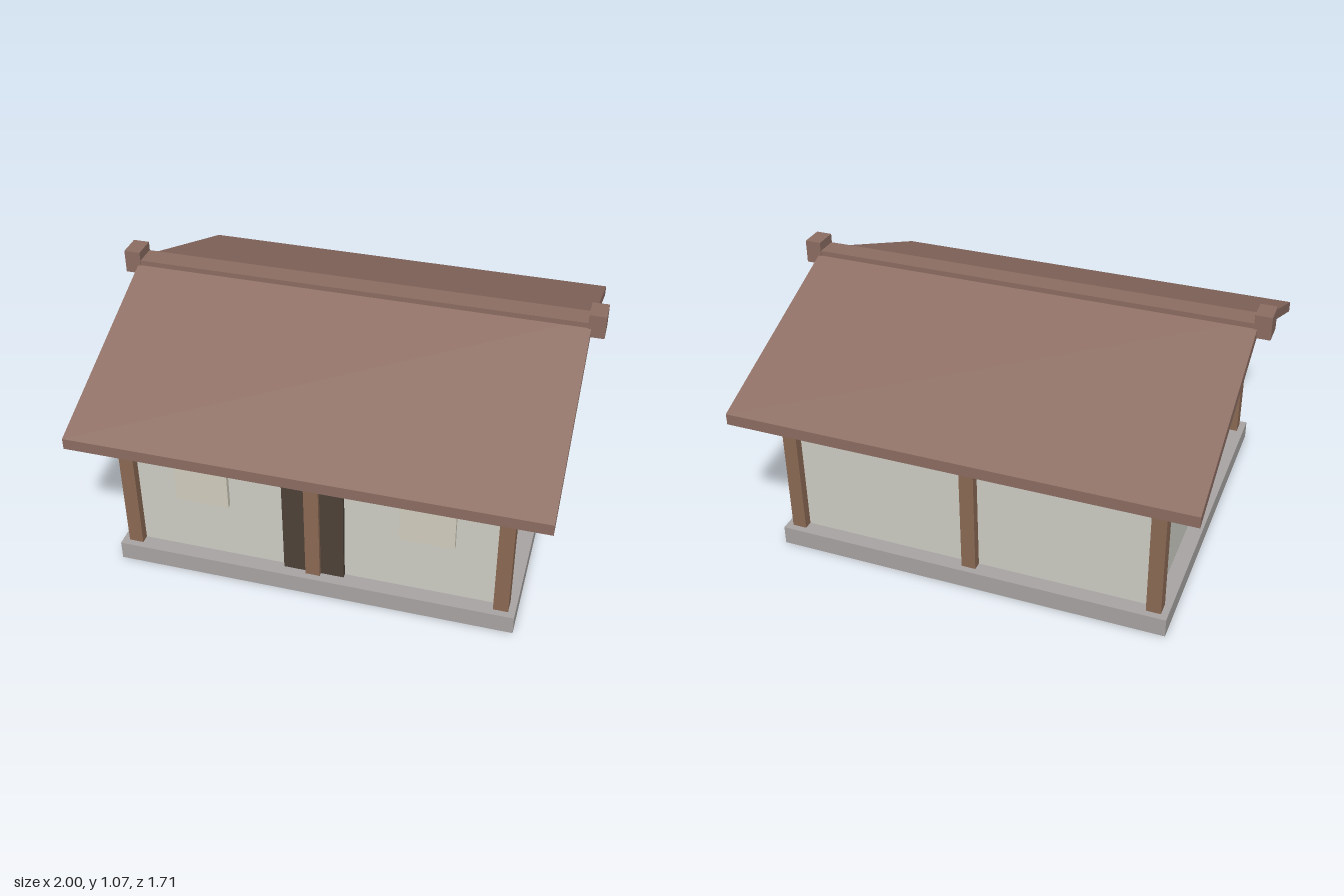
import * as THREE from 'three';

const mat = (color) => new THREE.MeshStandardMaterial({ color, flatShading: true });

export function createModel() {
  const house = new THREE.Group();
  house.name = 'house';

  const stone = mat(0xaaa6a5);
  const plaster = mat(0xd0d0c8);
  const wood = mat(0x8d6b55);
  const tile = mat(0x8d6e63);
  const doorWood = mat(0x4e4239);
  const pane = mat(0xd4cfbf);

  // Box given by its centre in x and z, its bottom and top, and its width and depth
  const box = (name, material, x, z, bottom, top, width, depth) => {
    const mesh = new THREE.Mesh(new THREE.BoxGeometry(width, top - bottom, depth), material);
    mesh.name = name;
    mesh.position.set(x, (bottom + top) / 2, z);
    house.add(mesh);
  };

  // Plinth, walls and the ceiling plate that ties the posts
  box('plinth', stone, 0, 0, 0, 0.08, 1.65, 1.47);
  box('walls', plaster, 0, 0, 0.08, 0.605, 1.52, 1.34);
  box('ceilingPlate', wood, 0, 0, 0.605, 0.652, 1.58, 1.4);

  // Three posts along the front and three along the back
  for (const z of [-0.677, 0.677]) {
    for (const x of [-0.767, 0, 0.767]) box('post', wood, x, z, 0.08, 0.655, 0.06, 0.06);
  }

  // Door and windows on the front wall
  box('door', doorWood, 0, 0.675, 0.08, 0.53, 0.25, 0.03);
  for (const side of [-1, 1]) box('window', pane, side * 0.46, 0.675, 0.34, 0.503, 0.22, 0.03);

  // Gable roof: a bent slab with upright eaves, extruded along x
  const eave = 0.853, length = 1.89;
  const section = new THREE.Shape([
    [-eave, 0.64], [0, 0.982], [eave, 0.64],
    [eave, 0.687], [0, 1.029], [-eave, 0.687],
  ].map(([z, y]) => new THREE.Vector2(z, y)));
  const roofGeometry = new THREE.ExtrudeGeometry(section, { depth: length, bevelEnabled: false });
  roofGeometry.translate(0, 0, -length / 2).rotateY(Math.PI / 2);
  const roof = new THREE.Mesh(roofGeometry, tile);
  roof.name = 'roof';
  house.add(roof);

  // Ridge beam and its end blocks
  box('ridgeBeam', tile, 0, 0, 0.99, 1.032, 1.88, 0.094);
  for (const side of [-1, 1]) box('ridgeEnd', tile, side * 0.966, 0, 0.972, 1.07, 0.068, 0.1);

  return house;
}
